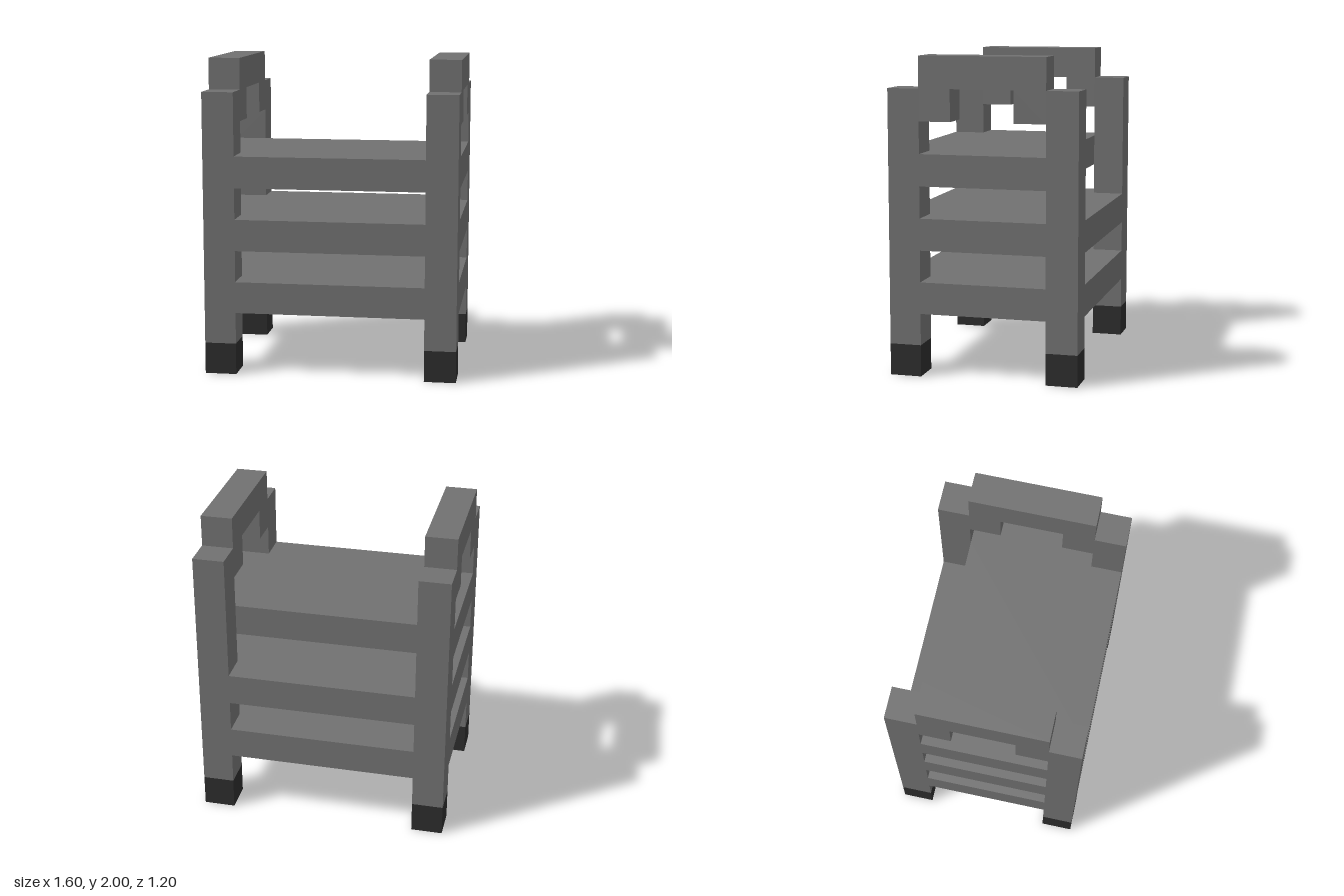
import * as THREE from 'three';

const bodyGrey = new THREE.MeshStandardMaterial({ name: 'bodyGrey', color: 0x717171 });
const footBlack = new THREE.MeshStandardMaterial({ name: 'footBlack', color: 0x2c2c2c });

const points = (list) => list.map(([z, y]) => new THREE.Vector2(z, y));

function addBox(parent, name, size, position, material) {
  const mesh = new THREE.Mesh(new THREE.BoxGeometry(...size), material);
  mesh.name = name;
  mesh.position.set(...position);
  parent.add(mesh);
}

// Side frame: two legs, three rails and a stepped handle, with openings between
function sideFrameGeometry() {
  const shape = new THREE.Shape(points([
    [0.6, 0.2], [0.6, 1.8], [0.4, 1.8], [0.4, 2], [-0.4, 2], [-0.4, 1.8],
    [-0.6, 1.8], [-0.6, 0.2], [-0.4, 0.2], [-0.4, 0.4], [0.4, 0.4], [0.4, 0.2],
  ]));
  for (const y of [0.6, 1.0]) {
    shape.holes.push(new THREE.Path(points([[-0.4, y], [0.4, y], [0.4, y + 0.2], [-0.4, y + 0.2]])));
  }
  // Hand opening under the handle
  shape.holes.push(new THREE.Path(points([
    [-0.4, 1.4], [0.4, 1.4], [0.4, 1.6], [0.2, 1.6], [0.2, 1.8], [-0.2, 1.8], [-0.2, 1.6], [-0.4, 1.6],
  ])));
  const geometry = new THREE.ExtrudeGeometry(shape, { depth: 0.2, bevelEnabled: false });
  return geometry.translate(0, 0, -0.1).rotateY(Math.PI / 2);
}

export function createModel() {
  const model = new THREE.Group();
  model.name = 'shelfStand';

  const frame = sideFrameGeometry();
  for (const [side, x] of [['left', 0.7], ['right', -0.7]]) {
    const mesh = new THREE.Mesh(frame, bodyGrey);
    mesh.name = `${side}SideFrame`;
    mesh.position.x = x;
    model.add(mesh);

    // Dark feet
    addBox(model, `${side}FrontFoot`, [0.2, 0.2, 0.2], [x, 0.1, 0.5], footBlack);
    addBox(model, `${side}BackFoot`, [0.2, 0.2, 0.2], [x, 0.1, -0.5], footBlack);
  }

  // Shelves; the top one stops short of the back
  addBox(model, 'bottomShelf', [1.2, 0.2, 1.2], [0, 0.5, 0], bodyGrey);
  addBox(model, 'middleShelf', [1.2, 0.2, 1.2], [0, 0.9, 0], bodyGrey);
  addBox(model, 'topShelf', [1.2, 0.2, 1.0], [0, 1.3, 0.1], bodyGrey);

  return model;
}
